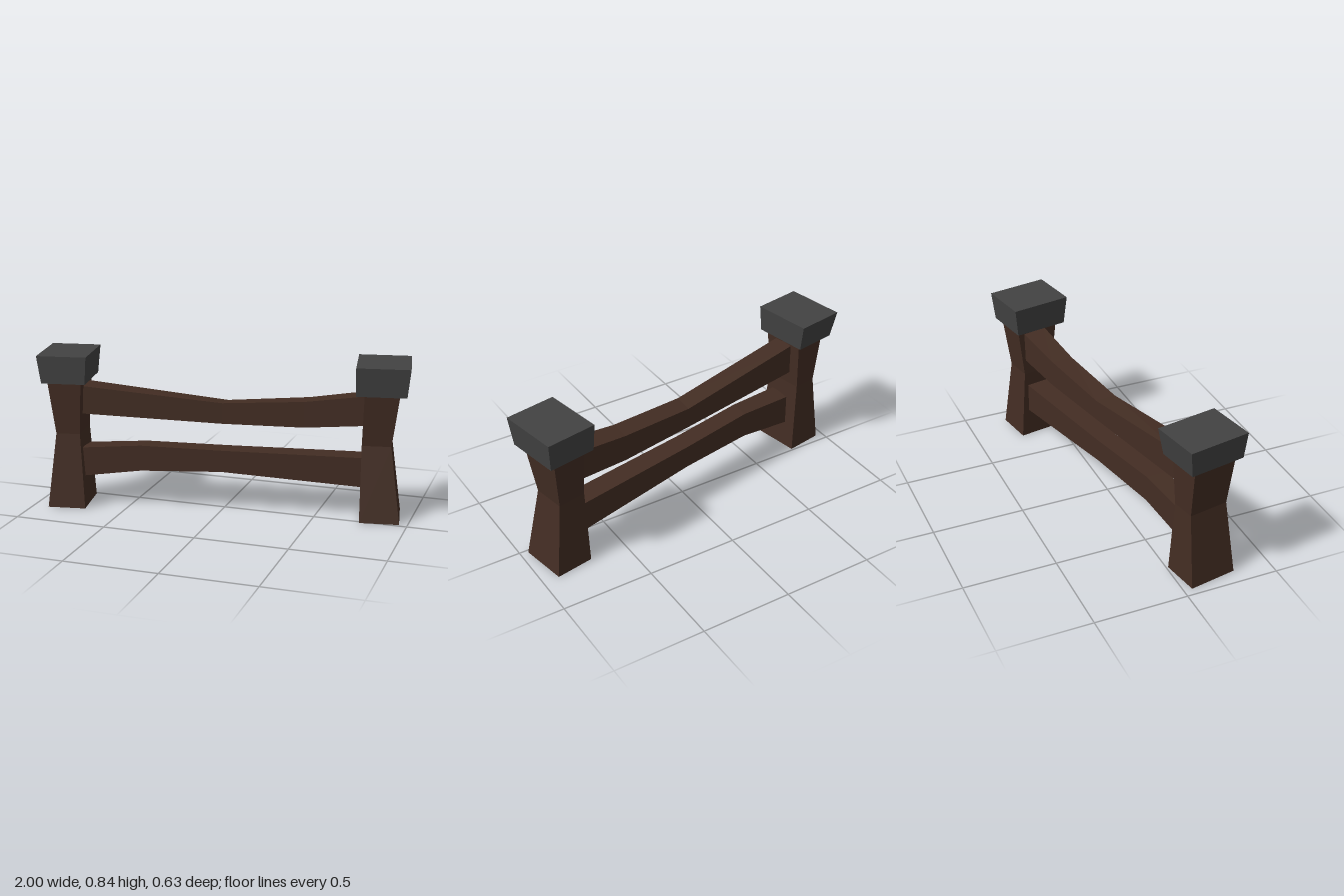
import * as THREE from 'three';

const wood = new THREE.MeshStandardMaterial({ color: 0x432d23, flatShading: true });
wood.name = 'dark wood';
const iron = new THREE.MeshStandardMaterial({ color: 0x424242, flatShading: true });
iron.name = 'dark grey cap';

const TURN = THREE.MathUtils.degToRad(10);

// Closed solid through four-cornered sections (corners anticlockwise seen from the last section)
function loft(name, sections, material) {
  const pos = [];
  const quad = (a, b, c, d) => [a, b, c, a, c, d].forEach((p) => pos.push(...p));
  for (let i = 0; i < sections.length - 1; i++) {
    const s = sections[i], t = sections[i + 1];
    for (let k = 0; k < 4; k++) {
      const n = (k + 1) % 4;
      quad(s[k], s[n], t[n], t[k]);
    }
  }
  const first = sections[0], last = sections[sections.length - 1];
  quad(first[3], first[2], first[1], first[0]);
  quad(last[0], last[1], last[2], last[3]);
  const geometry = new THREE.BufferGeometry();
  geometry.setAttribute('position', new THREE.Float32BufferAttribute(pos, 3));
  geometry.computeVertexNormals();
  const mesh = new THREE.Mesh(geometry, material);
  mesh.name = name;
  return mesh;
}

// Horizontal turned rectangle: height, centre x, centre z, width, depth
function slab([y, cx, cz, w, d]) {
  const c = Math.cos(TURN), s = Math.sin(TURN);
  return [[1, 1], [1, -1], [-1, -1], [-1, 1]].map(([i, j]) => {
    const u = (i * w) / 2, v = (j * d) / 2;
    return [cx + u * c + v * s, y, cz - u * s + v * c];
  });
}

// Upright rail section: x, back z, front z, back bottom, front bottom, back top, front top
function railSection([x, zb, zf, bb, fb, bt, ft]) {
  return [[x, bb, zb], [x, bt, zb], [x, ft, zf], [x, fb, zf]];
}

export function createModel() {
  const fence = new THREE.Group();
  fence.name = 'fence';

  // Waisted posts
  const posts = {
    rightPost: [
      [0, -0.834, 0.156, 0.205, 0.26],
      [0.41, -0.824, 0.143, 0.13, 0.215],
      [0.7, -0.834, 0.146, 0.182, 0.242],
    ],
    leftPost: [
      [0, 0.831, -0.1275, 0.21, 0.262],
      [0.408, 0.802, -0.135, 0.154, 0.179],
      [0.7, 0.826, -0.1325, 0.182, 0.249],
    ],
  };

  // Caps flaring towards the top
  const caps = {
    rightCap: [
      [0.693, -0.834, 0.14, 0.236, 0.302],
      [0.842, -0.841, 0.13, 0.268, 0.333],
    ],
    leftCap: [
      [0.688, 0.822, -0.13, 0.26, 0.297],
      [0.842, 0.829, -0.127, 0.278, 0.333],
    ],
  };

  // Sagging upper rail and bowed lower rail
  const rails = {
    upperRail: [
      [-0.75, 0.065, 0.188, 0.498, 0.512, 0.668, 0.665],
      [0, -0.064, 0.043, 0.472, 0.482, 0.587, 0.595],
      [0.43, -0.145, -0.028, 0.47, 0.48, 0.618, 0.62],
      [0.76, -0.208, -0.072, 0.498, 0.507, 0.666, 0.667],
    ],
    lowerRail: [
      [-0.75, 0.08, 0.204, 0.152, 0.165, 0.323, 0.325],
      [-0.43, 0.033, 0.142, 0.2, 0.207, 0.346, 0.348],
      [0, -0.055, 0.06, 0.208, 0.218, 0.336, 0.337],
      [0.76, -0.2, -0.072, 0.158, 0.168, 0.328, 0.33],
    ],
  };

  for (const [name, rows] of Object.entries(posts)) fence.add(loft(name, rows.map(slab), wood));
  for (const [name, rows] of Object.entries(caps)) fence.add(loft(name, rows.map(slab), iron));
  for (const [name, rows] of Object.entries(rails)) fence.add(loft(name, rows.map(railSection), wood));
  return fence;
}
